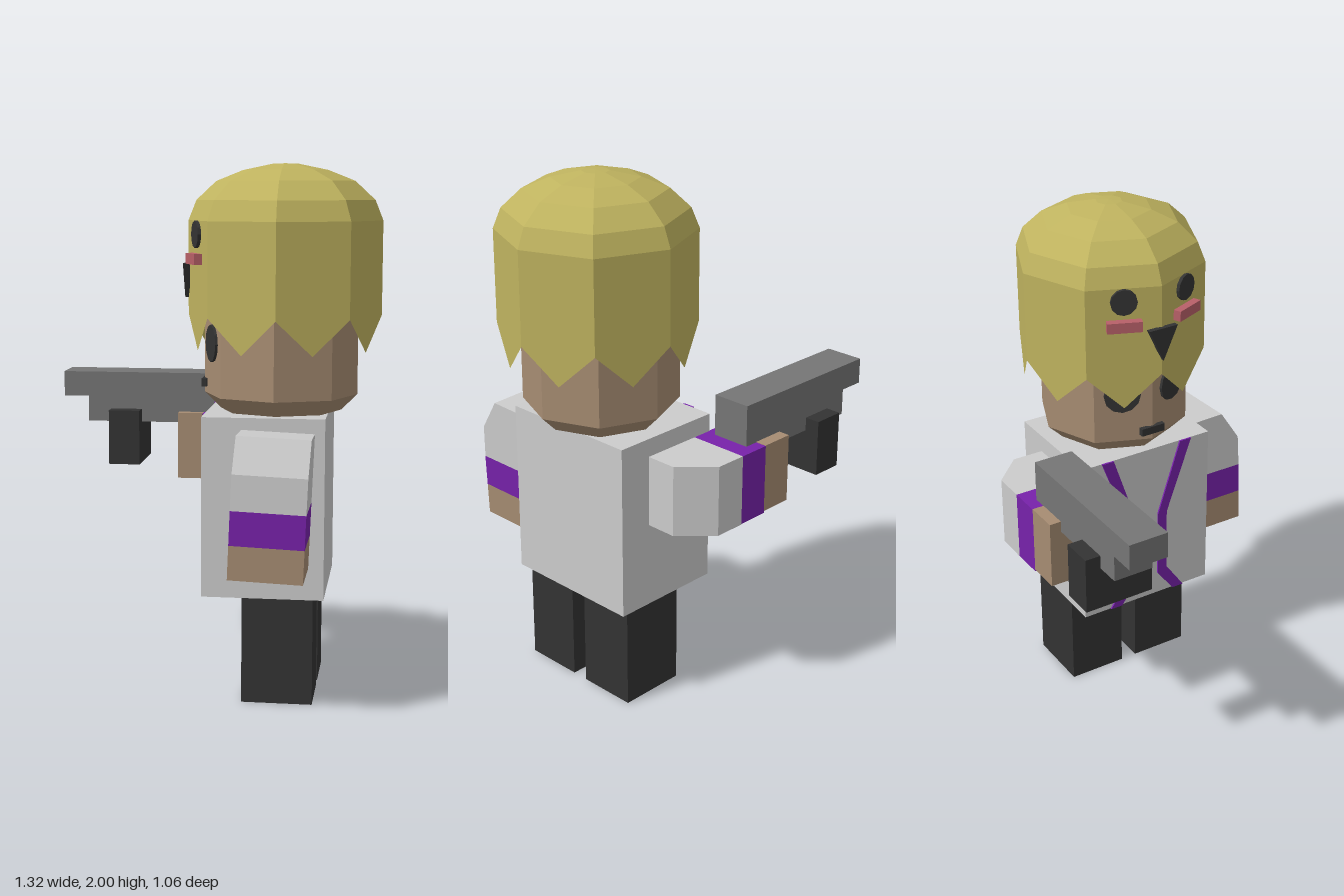
import * as THREE from 'three';

const SKIN = 0xa68c72, PURPLE = 0x7722aa, BLACK = 0x333333, FUR = 0xbfb35f, GUN = 0x757575, PINK = 0xb86068;

function mat(color = 0xcccccc, side = THREE.FrontSide) {
  return new THREE.MeshStandardMaterial({ color, flatShading: true, side });
}

function add(parent, name, geo, color, x = 0, y = 0, z = 0, side) {
  const mesh = new THREE.Mesh(geo, mat(color, side));
  mesh.name = name;
  mesh.position.set(x, y, z);
  parent.add(mesh);
  return mesh;
}

// Box given by its min and max corners
function span(parent, name, color, [x0, y0, z0], [x1, y1, z1]) {
  return add(parent, name, new THREE.BoxGeometry(x1 - x0, y1 - y0, z1 - z0), color,
    (x0 + x1) / 2, (y0 + y1) / 2, (z0 + z1) / 2);
}

function prism(points, depth) {
  const shape = new THREE.Shape(points.map(p => new THREE.Vector2(...p)));
  return new THREE.ExtrudeGeometry(shape, { depth, bevelEnabled: false });
}

// Eight-sided hood with a faceted dome and a zigzag hem
function hoodGeometry() {
  const profile = [[0, 2], [0.05, 1.998], [0.16, 1.975], [0.26, 1.935], [0.335, 1.865], [0.365, 1.79], [0.365, null]];
  const pos = [], index = [], n = 16;
  for (const [r, y] of profile) {
    for (let i = 0; i < n; i++) {
      const a = i / n * Math.PI * 2, mid = i % 2;
      const rr = mid ? r * Math.cos(Math.PI / 8) : r;
      pos.push(rr * Math.cos(a), y ?? (mid ? 1.31 : 1.44), rr * Math.sin(a));
    }
  }
  for (let k = 0; k < profile.length - 1; k++) {
    for (let i = 0; i < n; i++) {
      const a = k * n + i, b = k * n + (i + 1) % n, c = a + n, d = b + n;
      if (k > 0) index.push(a, b, c);
      index.push(b, d, c);
    }
  }
  const geo = new THREE.BufferGeometry();
  geo.setAttribute('position', new THREE.Float32BufferAttribute(pos, 3));
  geo.setIndex(index);
  geo.computeVertexNormals();
  return geo;
}

function addHead(body) {
  const head = new THREE.Group();
  head.name = 'head';
  body.add(head);

  // Octagonal face block with a bevelled chin
  const face = new THREE.LatheGeometry(
    [[0, 1.08], [0.23, 1.08], [0.29, 1.14], [0.29, 1.7], [0, 1.7]].map(p => new THREE.Vector2(...p)), 8);
  add(head, 'face', face, SKIN, -0.012);
  add(head, 'hood', hoodGeometry(), FUR, 0, 0, 0, THREE.DoubleSide);

  // Features sit on the two facets either side of the front corner (-x)
  for (const s of [-1, 1]) {
    const facet = new THREE.Group();
    facet.name = s > 0 ? 'leftFeatures' : 'rightFeatures';
    facet.rotation.y = s * Math.PI / 8;
    head.add(facet);
    const disc = r => new THREE.CylinderGeometry(r, r, 0.02, 12).rotateZ(Math.PI / 2);
    add(facet, 'eye', disc(0.07), BLACK, -0.279, 1.335, 0);
    add(facet, 'hoodEye', disc(0.05), BLACK, -0.34, 1.74, 0);
    add(facet, 'hoodBrow', new THREE.BoxGeometry(0.04, 0.04, 0.13), PINK, -0.348, 1.65, 0);
  }
  const nose = prism([[-0.06, 1.63], [0, 1.5], [0.06, 1.63]], 0.02).rotateY(-Math.PI / 2);
  add(head, 'hoodNose', nose, BLACK, -0.358);
  add(head, 'mouth', new THREE.BoxGeometry(0.02, 0.03, 0.1), BLACK, -0.3, 1.18, 0);
}

function addTorso(body) {
  span(body, 'torso', undefined, [-0.28, 0.405, -0.298], [0.175, 1.08, 0.272]);
  // Jacket trim on the chest: collar, lapels and open front edges
  for (const s of [-1, 1]) {
    const trim = prism([[s * 0.2, 1.08], [s * 0.15, 1.08], [s * 0.05, 0.78], [s * 0.05, 0.5],
      [s * 0.12, 0.405], [s * 0.17, 0.405], [s * 0.09, 0.52], [s * 0.09, 0.78]], 0.008);
    add(body, 'jacketTrim', trim.rotateY(-Math.PI / 2), PURPLE, -0.279, 0, -0.013, THREE.DoubleSide);
  }
  for (const z of [0.14, -0.16]) {
    span(body, 'leg', BLACK, [-0.13, 0, z - 0.117], [0.135, 0.405, z + 0.117]);
  }
}

// Hanging left arm, cut across the outer shoulder
function addLeftArm(body) {
  const arm = new THREE.Group();
  arm.name = 'leftArm';
  arm.position.set(0, 0.78, 0);
  arm.rotation.z = -0.04;
  body.add(arm);
  const sleeve = prism([[-0.25, 0], [-0.525, 0], [-0.52, 0.13], [-0.44, 0.255], [-0.25, 0.25]], 0.27);
  add(arm, 'sleeve', sleeve.rotateY(Math.PI / 2), undefined, -0.142);
  span(arm, 'cuff', PURPLE, [-0.142, -0.125, 0.25], [0.128, 0, 0.526]);
  span(arm, 'hand', SKIN, [-0.142, -0.25, 0.25], [0.128, -0.125, 0.526]);
}

// Raised right arm, cut across the rear shoulder
function addRightArm(body) {
  const arm = new THREE.Group();
  arm.name = 'rightArm';
  body.add(arm);
  const sleeve = prism([[-0.2, 0.29], [0.04, 0.27], [0.04, 0.42], [-0.075, 0.535], [-0.2, 0.536]], 0.275);
  add(arm, 'sleeve', sleeve.rotateX(-Math.PI / 2), undefined, 0, 0.735, 0);
  span(arm, 'cuff', PURPLE, [-0.325, 0.737, -0.536], [-0.2, 1.01, -0.295]);
  span(arm, 'hand', SKIN, [-0.455, 0.745, -0.536], [-0.325, 1.012, -0.3]);
}

function addGun(body) {
  const gun = new THREE.Group();
  gun.name = 'gun';
  body.add(gun);
  span(gun, 'barrel', GUN, [-0.93, 1.07, -0.49], [-0.27, 1.17, -0.335]);
  span(gun, 'receiver', GUN, [-0.83, 0.968, -0.49], [-0.27, 1.07, -0.335]);
  span(gun, 'magazine', BLACK, [-0.735, 0.8, -0.55], [-0.61, 1.02, -0.275]);
}

export function createModel() {
  const model = new THREE.Group();
  model.name = 'figure';
  const body = new THREE.Group();
  body.name = 'body';
  body.position.set(0.292, 0, -0.008);
  body.rotation.y = 0.055;
  model.add(body);
  addHead(body);
  addTorso(body);
  addLeftArm(body);
  addRightArm(body);
  addGun(body);
  return model;
}
